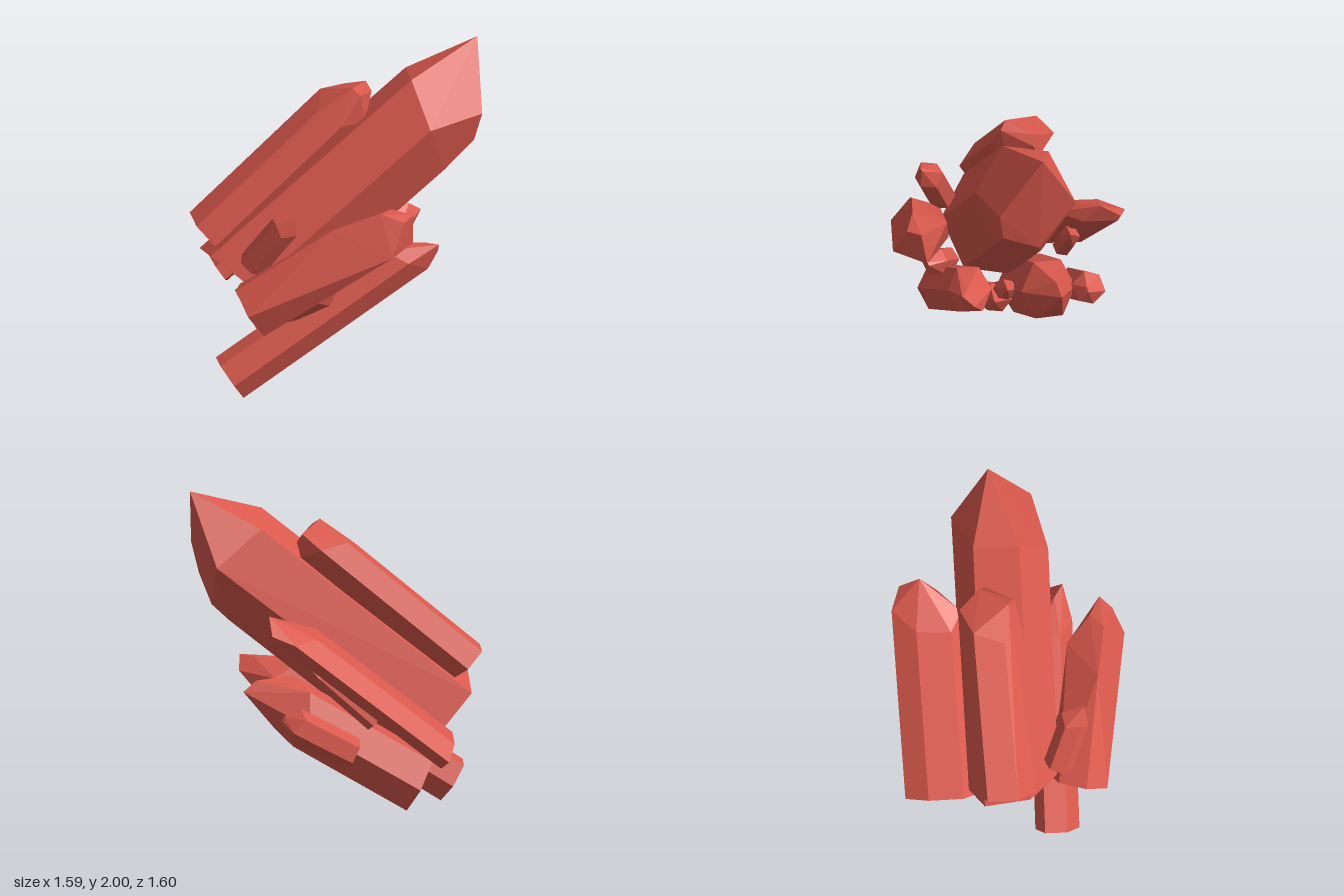
import * as THREE from 'three';
import { ConvexGeometry } from 'three/addons/geometries/ConvexGeometry.js';

const material = new THREE.MeshStandardMaterial({ color: 0xd9584c, flatShading: true });
const vec = (x, y, z) => new THREE.Vector3(x, y, z);

function hull(name, points) {
  const mesh = new THREE.Mesh(new ConvexGeometry(points), material);
  mesh.name = name;
  return mesh;
}

// Six-sided crystal. Two half-diagonals p and q span its cut base, which is swept
// up and back by the given slopes. The sides end at a slanted shoulder that is
// highest towards one corner (peak), and a few corners close the tip. Without a
// length the sides run straight from the base to the tip.
function crystal(name, { center, p, q, rise = 0, back = 0, length = 0, slant = 0, peak = 0, tip }) {
  const r = q.clone().sub(p);
  const grow = vec(1, rise, -back);
  const points = [...tip];
  [p, q, r].forEach((half, i) => {
    for (const sign of [1, -1]) {
      const foot = center.clone().addScaledVector(half, sign);
      const reach = length + sign * slant * Math.cos(((i - peak) * Math.PI) / 3);
      points.push(foot);
      if (length) points.push(foot.clone().addScaledVector(grow, reach));
    }
  });
  return hull(name, points);
}

// Small regular shard with a lopsided, bevelled point.
function shard(name, from, to, radius, point = 0.3) {
  const axis = to.clone().sub(from);
  const turn = new THREE.Quaternion().setFromUnitVectors(vec(0, 1, 0), axis.clone().normalize());
  const points = [];
  for (let i = 0; i < 6; i++) {
    const t = (i * Math.PI) / 3;
    const side = vec(Math.cos(t), 0, Math.sin(t)).multiplyScalar(radius).applyQuaternion(turn);
    const reach = 1 - point * (i % 2 ? 1 : 0.7);
    points.push(from.clone().add(side), from.clone().addScaledVector(axis, reach).add(side));
    if (i < 2) points.push(to.clone().addScaledVector(side, 0.3));
  }
  return hull(name, points);
}

export function createModel() {
  const group = new THREE.Group();
  group.name = 'crystalCluster';

  // Large crystals
  group.add(crystal('mainCrystal', {
    center: vec(-0.33, 0.61, 0.34), p: vec(-0.27, 0.147, 0.025), q: vec(-0.08, 0.225, 0.215),
    rise: 1.18, back: 1, length: 0.78, slant: 0.1, peak: 0.3,
    tip: [vec(0.64, 2, -0.72), vec(0.795, 1.62, -0.52), vec(0.385, 1.59, -0.78),
      vec(0.745, 1.44, -0.51), vec(0.55, 1.31, -0.63)],
  }));
  group.add(crystal('upperCrystal', {
    center: vec(-0.498, 0.915, 0.433), p: vec(-0.137, 0.09, -0.015), q: vec(-0.013, 0.085, 0.113),
    rise: 1.3, back: 1.1, length: 0.55, slant: 0.05, peak: 4.2,
    tip: [vec(0.15, 1.79, -0.12), vec(0.205, 1.75, -0.125), vec(0.12, 1.745, -0.32), vec(0.16, 1.69, -0.32)],
  }));
  group.add(crystal('backCrystal', {
    center: vec(-0.657, 0.488, 0.065), p: vec(-0.14, -0.016, -0.147), q: vec(-0.078, 0.056, -0.02),
    rise: 1.2, back: 1.07, length: 0.61, slant: 0.07, peak: 4.6,
    tip: [vec(-0.05, 1.26, -0.8), vec(0.04, 1.35, -0.72)],
  }));
  group.add(crystal('frontCrystal', {
    center: vec(-0.077, 0.606, 0.638), p: vec(-0.117, 0.117, -0.057), q: vec(-0.048, 0.155, 0.1),
    tip: [vec(0.34, 1.14, 0.41), vec(0.385, 1.1, 0.13), vec(0.57, 1.235, 0.25), vec(0.57, 1.22, 0.14),
      vec(0.7, 1.2, 0.1), vec(0.7, 1.19, 0.2), vec(0.685, 1, 0.31), vec(0.68, 1, 0.07)],
  }));
  group.add(crystal('lowerCrystal', {
    center: vec(-0.243, 0.11, 0.614), p: vec(-0.099, 0.104, -0.007), q: vec(-0.011, 0.11, 0.087),
    rise: 0.91, back: 0.97, length: 0.75, slant: 0.05, peak: 3.5,
    tip: [vec(0.61, 0.88, -0.17), vec(0.7, 0.88, -0.19), vec(0.655, 0.8, -0.25)],
  }));
  group.add(crystal('lowerBackCrystal', {
    center: vec(-0.407, 0.24, 0.108), p: vec(-0.117, 0.146, -0.013), q: vec(-0.123, -0.003, -0.127),
    rise: 0.85, back: 0.97, length: 0.53, slant: 0.07, peak: 4.3,
    tip: [vec(0.27, 0.88, -0.56), vec(0.31, 0.82, -0.63)],
  }));

  // Small shards between them
  group.add(shard('frontShard', vec(-0.14, 0.84, 0.53), vec(0.12, 1.21, 0.47), 0.088));
  group.add(shard('innerShard', vec(0, 0.52, 0.4), vec(0.29, 0.7, 0.31), 0.08));
  group.add(shard('lowerShard', vec(-0.2, 0.23, 0.2), vec(0.14, 0.5, -0.06), 0.09, 0.4));
  group.add(shard('middleShard', vec(-0.1, 0.35, 0.1), vec(0.18, 0.64, -0.17), 0.06));
  group.add(shard('backShard', vec(-0.26, 0.48, -0.32), vec(0, 0.71, -0.63), 0.1, 0.2));
  group.add(shard('hiddenShard', vec(-0.33, 0.66, -0.2), vec(-0.03, 1.03, -0.47), 0.06));
  return group;
}
